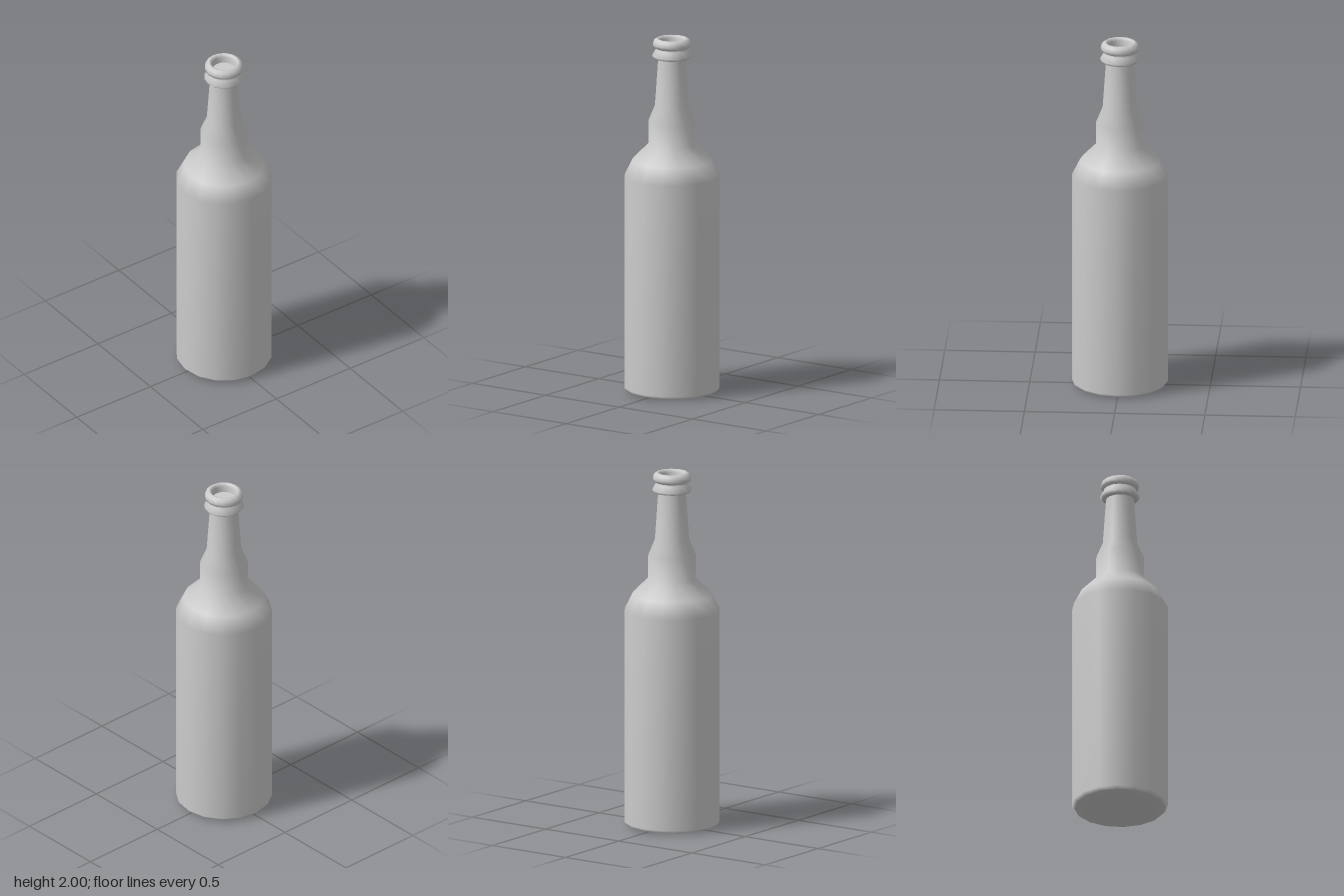
import * as THREE from 'three';

const SIDES = 16;

export function createModel() {
  const group = new THREE.Group();
  group.name = 'bottle';
  const material = new THREE.MeshStandardMaterial({ color: 0xcccccc });

  // Turns a [radius, height] profile, listed so that its outside faces out
  const turn = (name, profile) => {
    const points = profile.map(([r, y]) => new THREE.Vector2(r, y));
    const mesh = new THREE.Mesh(new THREE.LatheGeometry(points, SIDES), material);
    mesh.name = name;
    group.add(mesh);
  };

  // Flat underside with a small rounded edge
  turn('base', [[0, 0.005], [0.19, 0.005], [0.2, 0], [0.25, 0.008]]);

  // Body, shoulder, bulged lower neck and tapering upper neck
  turn('body', [
    [0.25, 0.008], [0.267, 0.025], [0.267, 1.22], [0.222, 1.31], [0.133, 1.4],
    [0.133, 1.53], [0.096, 1.62], [0.078, 1.885],
  ]);

  // Collar ring below the lip
  turn('collar', [[0.078, 1.885], [0.098, 1.888], [0.111, 1.902], [0.092, 1.935], [0.09, 1.945]]);

  // Rounded lip and the recessed mouth
  turn('lip', [
    [0.09, 1.945], [0.104, 1.953], [0.107, 1.968], [0.102, 1.988], [0.085, 2],
    [0.075, 1.998], [0.067, 1.985], [0.065, 1.95],
  ]);
  turn('mouthFloor', [[0.065, 1.95], [0, 1.95]]);

  return group;
}
